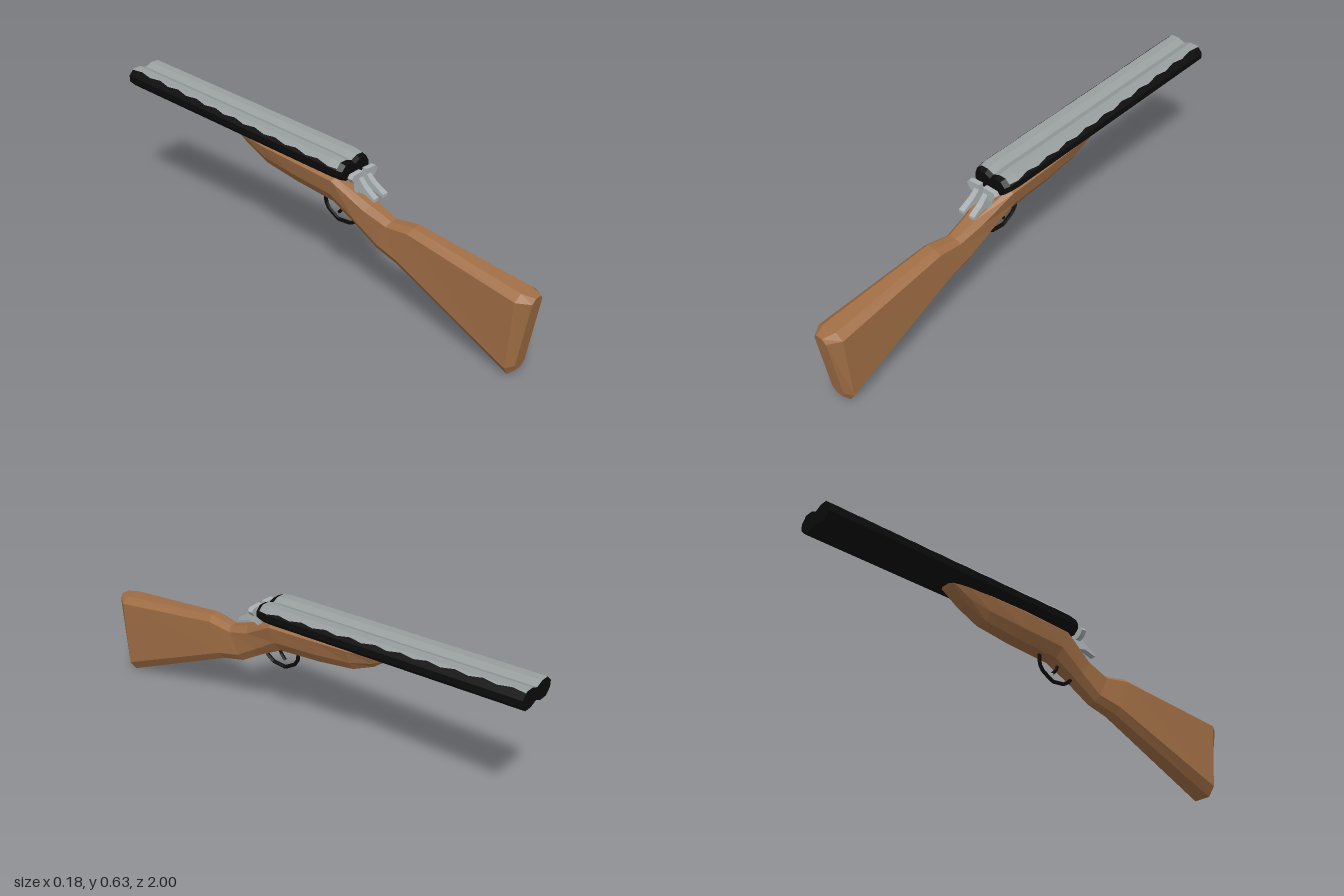
import * as THREE from 'three';

const mat = (name, color) => {
  const m = new THREE.MeshStandardMaterial({ color });
  m.name = name;
  return m;
};

// Skin a list of rings (counter-clockwise seen from +z, running towards -z).
// pick(section, edge) chooses the material index; caps use capMat.
function loft(rings, pick = () => 0, capMat = 0) {
  const bins = [[], []];
  const tri = (k, ...p) => p.forEach(v => bins[k].push(...v));
  const n = rings[0].length;
  for (let s = 0; s < rings.length - 1; s++) {
    for (let i = 0; i < n; i++) {
      const j = (i + 1) % n, a = rings[s], b = rings[s + 1], k = pick(s, i);
      tri(k, a[i], b[i], a[j]);
      tri(k, a[j], b[i], b[j]);
    }
  }
  for (const [ring, flip] of [[rings[0], false], [rings[rings.length - 1], true]]) {
    const c = [0, 1, 2].map(q => ring.reduce((t, p) => t + p[q], 0) / n);
    ring.forEach((p, i) => {
      const q = ring[(i + 1) % n];
      flip ? tri(capMat, c, q, p) : tri(capMat, c, p, q);
    });
  }
  const g = new THREE.BufferGeometry();
  g.setAttribute('position', new THREE.Float32BufferAttribute(bins.flat(), 3));
  g.addGroup(0, bins[0].length / 3, 0);
  g.addGroup(bins[0].length / 3, bins[1].length / 3, 1);
  g.computeVertexNormals();
  return g;
}

// Chamfered slanted section of the wooden stock
function stockRing([zT, yT, zB, yB, wT, wB, fT, fB, cT, cB, x0]) {
  const at = (x, t) => [x0 + x, yB + (yT - yB) * t, zB + (zT - zB) * t];
  return [at(-fB, 0), at(fB, 0), at(wB, cB), at(wT, 1 - cT),
    at(fT, 1), at(-fT, 1), at(-wT, 1 - cT), at(-wB, cB)];
}

export function createModel() {
  const wood = mat('wood', 0xa06e45);
  const steel = mat('steel', 0x989f9e);
  const bright = mat('bright steel', 0xaab0b2);
  const black = mat('black metal', 0x0b0b0b);
  const group = new THREE.Group();
  const add = (name, geometry, material, parent = group) => {
    const m = new THREE.Mesh(geometry, material);
    m.name = name;
    parent.add(m);
    return m;
  };

  // Stock, grip and fore-end in one carved piece:
  // zTop, yTop, zBottom, yBottom, upper/lower half width, top/bottom flat, chamfers, x
  const sections = [
    [1.0, 0.335, 0.945, 0.02, 0.03, 0.03, 0.015, 0.015, 0.06, 0.08, -0.01],
    [0.95, 0.342, 0.925, 0.003, 0.063, 0.065, 0.032, 0.038, 0.07, 0.12, -0.01],
    [0.47, 0.408, 0.4, 0.237, 0.042, 0.044, 0.018, 0.024, 0.12, 0.16, -0.008],
    [0.365, 0.393, 0.3, 0.262, 0.036, 0.038, 0.016, 0.02, 0.14, 0.2, -0.006],
    [0.27, 0.427, 0.19, 0.33, 0.045, 0.045, 0.022, 0.024, 0.2, 0.25, -0.005],
    [0.12, 0.502, 0.09, 0.385, 0.071, 0.057, 0.05, 0.03, 0.1, 0.35, -0.003],
    [-0.1, 0.518, -0.1, 0.405, 0.07, 0.056, 0.06, 0.03, 0.1, 0.35, -0.002],
    [-0.25, 0.526, -0.26, 0.43, 0.066, 0.05, 0.056, 0.028, 0.1, 0.35, -0.002],
    [-0.36, 0.531, -0.35, 0.47, 0.055, 0.042, 0.045, 0.024, 0.1, 0.35, -0.002],
    [-0.43, 0.535, -0.42, 0.522, 0.036, 0.03, 0.03, 0.018, 0.1, 0.35, -0.002],
  ];
  add('stock', loft(sections.map(stockRing)), wood);

  // Twin barrels: grey upper faces, black underside, wavy border along the chamfer
  const barrelRing = (z, scale, t) => {
    const y0 = 0.548 - 0.047 * z;
    const half = [[0, -0.025], [0.03, -0.0375], [0.065, -0.0375], [0.09, -0.013], [0.09, 0.013],
      [0.09 - 0.025 * t, 0.013 + 0.0245 * t], [0.065, 0.0375], [0.03, 0.0375], [0, 0.025]];
    const mirrored = half.slice(1, -1).reverse().map(([x, y]) => [-x, y]);
    return [...half, ...mirrored].map(([x, y]) => [x * scale, y0 + y * scale - (1 - scale) * 0.03, z]);
  };
  const rings = [barrelRing(0.17, 0.82, 0.2), barrelRing(0.15, 0.94, 0.2)];
  const steps = 20;
  for (let i = 0; i <= steps; i++) {
    const f = i / steps;
    const t = 0.2 + 0.7 * f + (i % 2 ? 0.15 : -0.1);
    rings.push(barrelRing(0.11 - 1.11 * f, 1, Math.min(0.97, t)));
  }
  const barrels = loft(rings, (s, e) => (s > 0 && e >= 5 && e <= 10 ? 0 : 1), 1);
  add('barrels', barrels, [steel, black]);

  // Pair of hammers, each a fan-shaped plate with a bent thumb spur
  for (const side of [1, -1]) {
    const hammer = new THREE.Group();
    hammer.name = side > 0 ? 'leftHammer' : 'rightHammer';
    const outline = [[0.01, 0.5], [0.042, 0.5], [0.06, 0.511], [0.072, 0.53], [0.062, 0.543], [0.01, 0.545]]
      .map(([x, y]) => new THREE.Vector2(side * x, y));
    const plate = new THREE.ExtrudeGeometry(new THREE.Shape(outline), { depth: 0.022, bevelEnabled: false });
    add('hammerPlate', plate.translate(0, 0, 0.195), bright, hammer);
    const box = (x, w, y, h, z) => [[x - w, y - h, z], [x + w, y - h, z], [x + w, y + h, z], [x - w, y + h, z]];
    const spur = loft([
      box(side * 0.026, 0.013, 0.458, 0.006, 0.295),
      box(side * 0.024, 0.012, 0.482, 0.013, 0.245),
      box(side * 0.022, 0.011, 0.495, 0.03, 0.215),
      box(side * 0.022, 0.01, 0.485, 0.034, 0.192),
    ]);
    add('hammerSpur', spur, bright, hammer);
    group.add(hammer);
  }

  // Trigger guard and trigger, angular bars bent in the side plane
  const bar = (points, r) => {
    const path = new THREE.CurvePath();
    const v = points.map(([z, y]) => new THREE.Vector3(-0.004, y, z));
    for (let i = 1; i < v.length; i++) path.add(new THREE.LineCurve3(v[i - 1], v[i]));
    const g = new THREE.TubeGeometry(path, 24, r, 5, false).toNonIndexed();
    g.computeVertexNormals();
    return g;
  };
  add('triggerGuard', bar([[0.2, 0.345], [0.185, 0.322], [0.155, 0.302], [0.095, 0.297],
    [0.045, 0.327], [0.03, 0.35], [0.027, 0.4]], 0.008), black);
  add('trigger', bar([[0.125, 0.38], [0.115, 0.35], [0.095, 0.328]], 0.007), black);

  return group;
}
